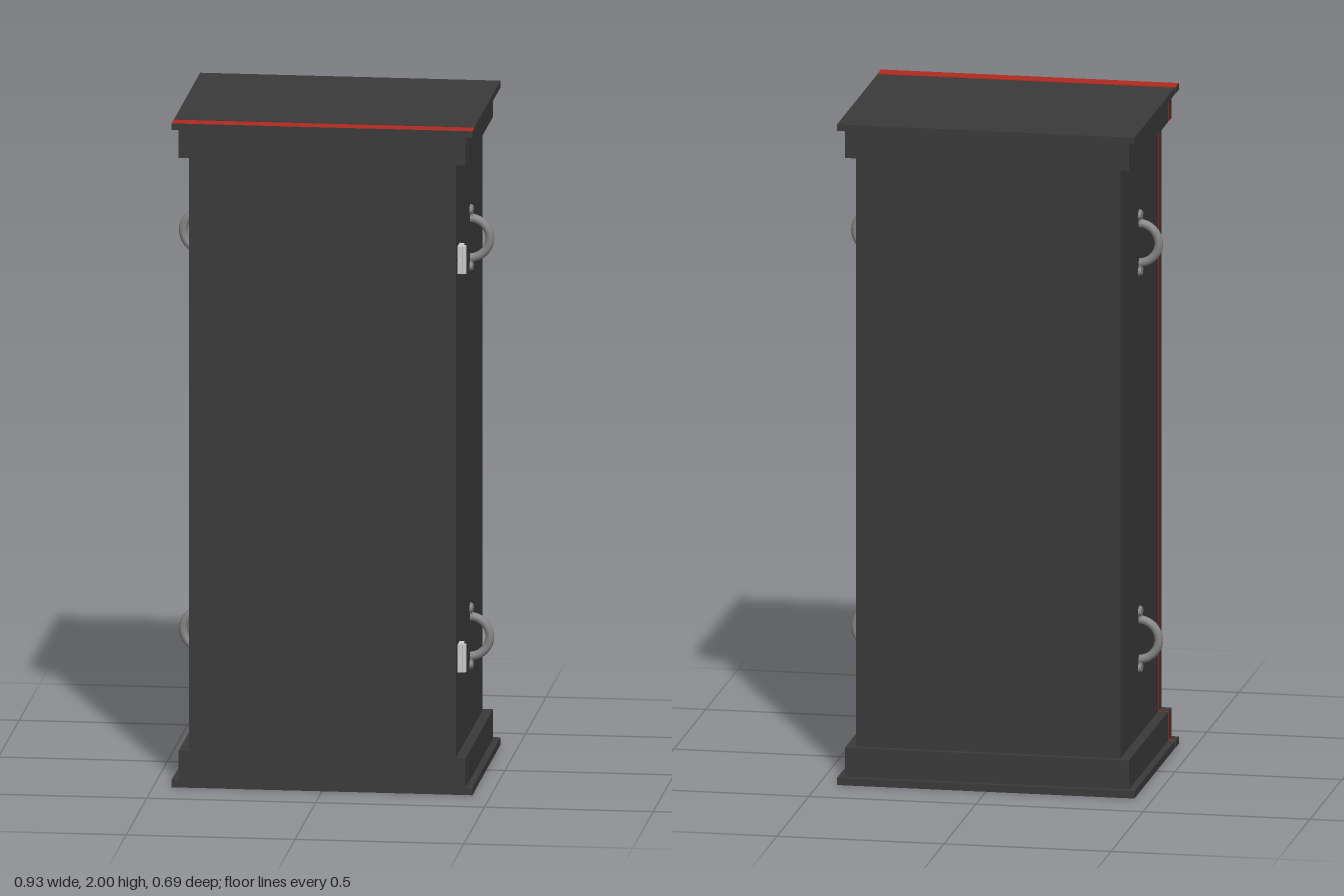
import * as THREE from 'three';

const mat = (color) => new THREE.MeshStandardMaterial({ color });

export function createModel() {
  const root = new THREE.Group();
  root.name = 'uprightCase';
  const dark = mat(0x3a3a3a), red = mat(0xb02a1e), steel = mat(0x858585), silver = mat(0xcccccc);
  // door pieces are lined red on their top and inner faces
  const lined = [dark, dark, red, dark, dark, red];
  const innerOnly = [dark, dark, dark, dark, dark, red];

  // box given by half width and y / z ranges
  function slab(parent, name, hx, y0, y1, z0, z1, material) {
    const m = new THREE.Mesh(new THREE.BoxGeometry(hx * 2, y1 - y0, z1 - z0), material);
    m.position.set(0, (y0 + y1) / 2, (z0 + z1) / 2);
    m.name = name;
    parent.add(m);
  }

  // main case with stepped mouldings at both ends
  const body = new THREE.Group();
  body.name = 'caseBody';
  slab(body, 'bodyPanel', 0.396, 0.11, 1.895, -0.307, 0.286, dark);
  slab(body, 'baseBand', 0.425, 0.022, 0.11, -0.328, 0.286, dark);
  slab(body, 'baseLip', 0.445, 0, 0.022, -0.345, 0.286, dark);
  slab(body, 'topBand', 0.425, 1.895, 1.98, -0.328, 0.286, dark);
  slab(body, 'topLip', 0.445, 1.98, 2, -0.345, 0.286, dark);
  root.add(body);

  // front door, separated from the case by a narrow gap
  const door = new THREE.Group();
  door.name = 'door';
  slab(door, 'doorPanel', 0.396, 0.11, 1.895, 0.294, 0.333, innerOnly);
  slab(door, 'doorBaseBand', 0.425, 0.022, 0.11, 0.294, 0.339, innerOnly);
  slab(door, 'doorBaseLip', 0.446, 0, 0.022, 0.294, 0.345, innerOnly);
  slab(door, 'doorTopBand', 0.425, 1.895, 1.98, 0.294, 0.339, innerOnly);
  slab(door, 'doorTopLip', 0.446, 1.98, 2, 0.294, 0.345, lined);
  root.add(door);

  // carrying handles: half ring on flattened feet
  const ringGeo = new THREE.TorusGeometry(0.06, 0.013, 10, 20, Math.PI);
  ringGeo.rotateZ(-Math.PI / 2);
  const padGeo = new THREE.CylinderGeometry(0.7, 1, 1, 12);
  padGeo.rotateZ(-Math.PI / 2);
  padGeo.scale(0.01, 0.017, 0.028);
  const neckGeo = new THREE.BoxGeometry(0.01, 0.035, 0.022);

  for (const side of [1, -1]) {
    for (const y of [0.4, 1.6]) {
      const handle = new THREE.Group();
      handle.name = side > 0 ? 'leftHandle' : 'rightHandle';
      const ring = new THREE.Mesh(ringGeo, steel);
      ring.name = 'handleGrip';
      handle.add(ring);
      for (const end of [1, -1]) {
        const pad = new THREE.Mesh(padGeo, steel);
        pad.position.set(0.005, end * 0.085, 0);
        pad.name = 'handleFoot';
        const neck = new THREE.Mesh(neckGeo, steel);
        neck.position.set(0.004, end * 0.07, 0);
        neck.name = 'handleNeck';
        handle.add(pad, neck);
      }
      handle.position.set(side * 0.394, y, -0.011);
      if (side < 0) handle.rotation.y = Math.PI;
      root.add(handle);
    }
  }

  // hinges on the left side, each with two pairs of leaves and a pin
  for (const y of [0.4, 1.6]) {
    const hinge = new THREE.Group();
    hinge.name = 'hinge';
    for (const end of [1, -1]) {
      for (const z of [0.261, 0.286]) {
        const leaf = new THREE.Mesh(new THREE.BoxGeometry(0.016, 0.041, 0.023), silver);
        leaf.position.set(0.403, end * 0.0215, z);
        leaf.name = 'hingeLeaf';
        hinge.add(leaf);
      }
    }
    const pin = new THREE.Mesh(new THREE.CylinderGeometry(0.009, 0.009, 0.084, 12), silver);
    pin.position.set(0.412, 0, 0.286);
    pin.name = 'hingePin';
    hinge.add(pin);
    hinge.position.y = y;
    root.add(hinge);
  }
  return root;
}
